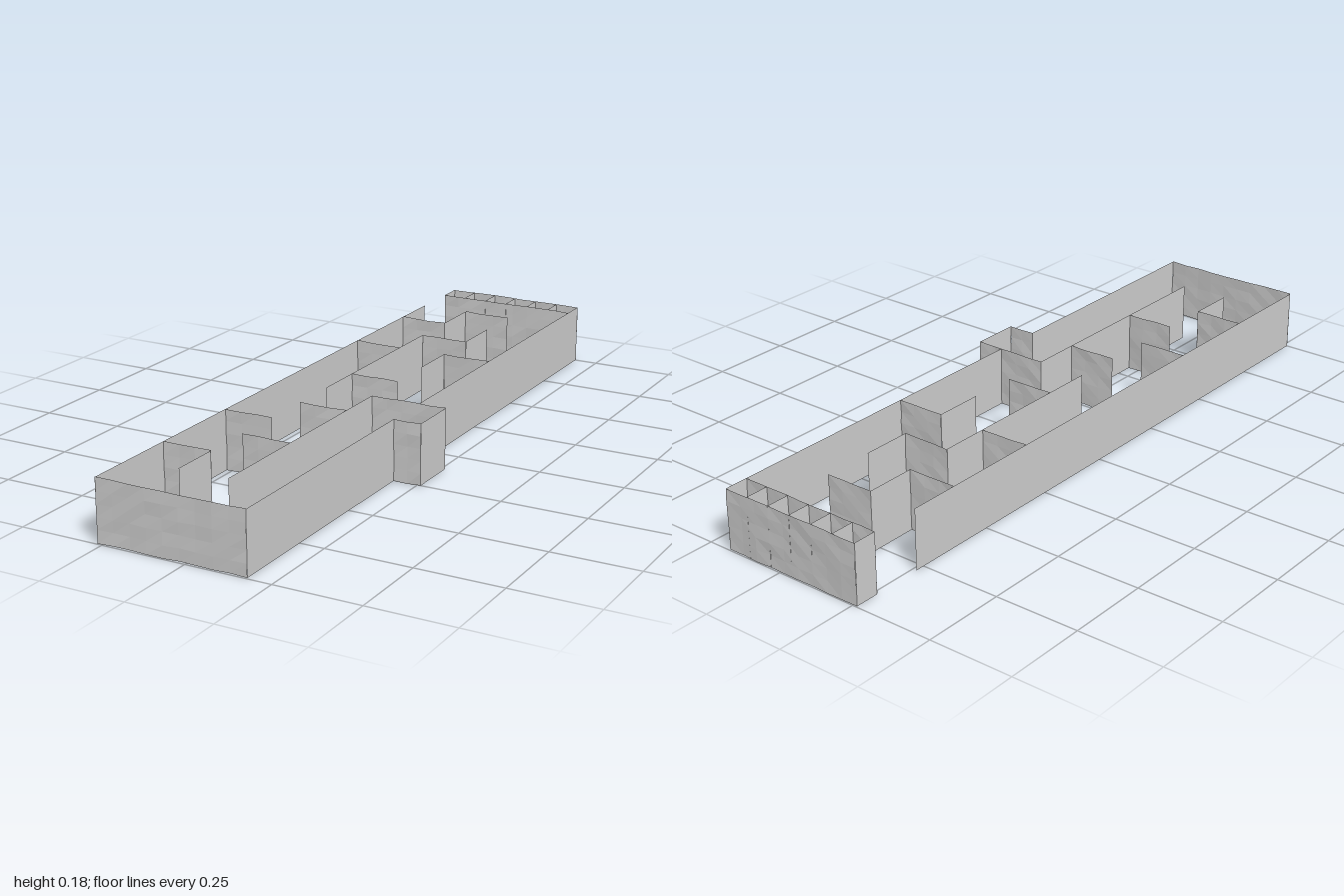
import * as THREE from 'three';

const BASE = 0.004, TOP = 0.182, HEIGHT = TOP - BASE;
const material = new THREE.MeshStandardMaterial({
  color: 0xcccccc, flatShading: true, side: THREE.DoubleSide,
});

// Repeatable small offset between -1 and 1, tied to position
function noise(a, b, c) {
  const s = Math.sin(a * 127.1 + b * 311.7 + c * 74.7) * 43758.5453;
  return 2 * (s - Math.floor(s)) - 1;
}

// Straight sheet running along z
function longWall(name, x, z0, z1) {
  const mesh = new THREE.Mesh(new THREE.PlaneGeometry(z1 - z0, HEIGHT), material);
  mesh.name = name;
  mesh.rotation.y = Math.PI / 2;
  mesh.position.set(x, BASE + HEIGHT / 2, (z0 + z1) / 2);
  return mesh;
}

// Sheet running along x, with a slightly uneven surface
function crossWall(name, z, x0, x1) {
  const columns = Math.max(2, Math.round((x1 - x0) / 0.05));
  const geometry = new THREE.PlaneGeometry(x1 - x0, HEIGHT, columns, 5);
  geometry.translate((x0 + x1) / 2, BASE + HEIGHT / 2, z);
  const p = geometry.attributes.position;
  for (let i = 0; i < p.count; i++) {
    const x = p.getX(i), y = p.getY(i);
    p.setY(i, y + 0.0015 * noise(x, y, z));
    p.setZ(i, z + 0.0015 * noise(y, z, x));
  }
  geometry.computeVertexNormals();
  const mesh = new THREE.Mesh(geometry, material);
  mesh.name = name;
  return mesh;
}

export function createModel() {
  const model = new THREE.Group();
  model.name = 'mazeWalls';

  // Lines of the floor plan
  const A = -0.264, B = -0.116, C = 0.032, D = 0.18, E = 0.262;
  const BACK = -0.998, FRONT = 0.997;

  // Outer enclosure with the side alcove
  const outer = new THREE.Group();
  outer.name = 'outerWalls';
  outer.add(
    longWall('rightWall', A, -0.78, FRONT),
    longWall('leftWallBack', D, BACK, 0.108),
    longWall('leftWallFront', D, 0.255, FRONT),
    crossWall('frontWall', FRONT, A, D),
    crossWall('alcoveBack', 0.108, C, E),
    longWall('alcoveSide', E, 0.108, 0.255),
    crossWall('alcoveFront', 0.255, D, E),
  );
  model.add(outer);

  // Row of small cells at the back
  const cells = new THREE.Group();
  cells.name = 'backCells';
  cells.add(crossWall('backWall', BACK, A, D), crossWall('cellFront', -0.926, A, D));
  for (let i = 0; i <= 6; i++) {
    cells.add(longWall('cellDivider', A + (i * (D - A)) / 6, BACK, -0.926));
  }
  model.add(cells);

  // Inner walls along the length: x, start z, end z
  const inner = new THREE.Group();
  inner.name = 'innerWalls';
  for (const [x, z0, z1] of [
    [B, -0.78, -0.63], [B, -0.482, 0.108], [B, 0.70, 0.845],
    [C, -0.63, -0.482], [C, -0.335, -0.187], [C, 0.108, 0.845],
  ]) inner.add(longWall('innerLongWall', x, z0, z1));

  // Inner walls across the width: z, start x, end x
  for (const [z, x0, x1] of [
    [-0.78, B, C], [-0.63, A, B], [-0.482, B, C], [-0.335, A, B], [-0.335, C, D],
    [-0.04, B, C], [0.255, B, C], [0.402, A, B], [0.55, B, C], [0.70, A, B],
  ]) inner.add(crossWall('innerCrossWall', z, x0, x1));
  model.add(inner);

  return model;
}
